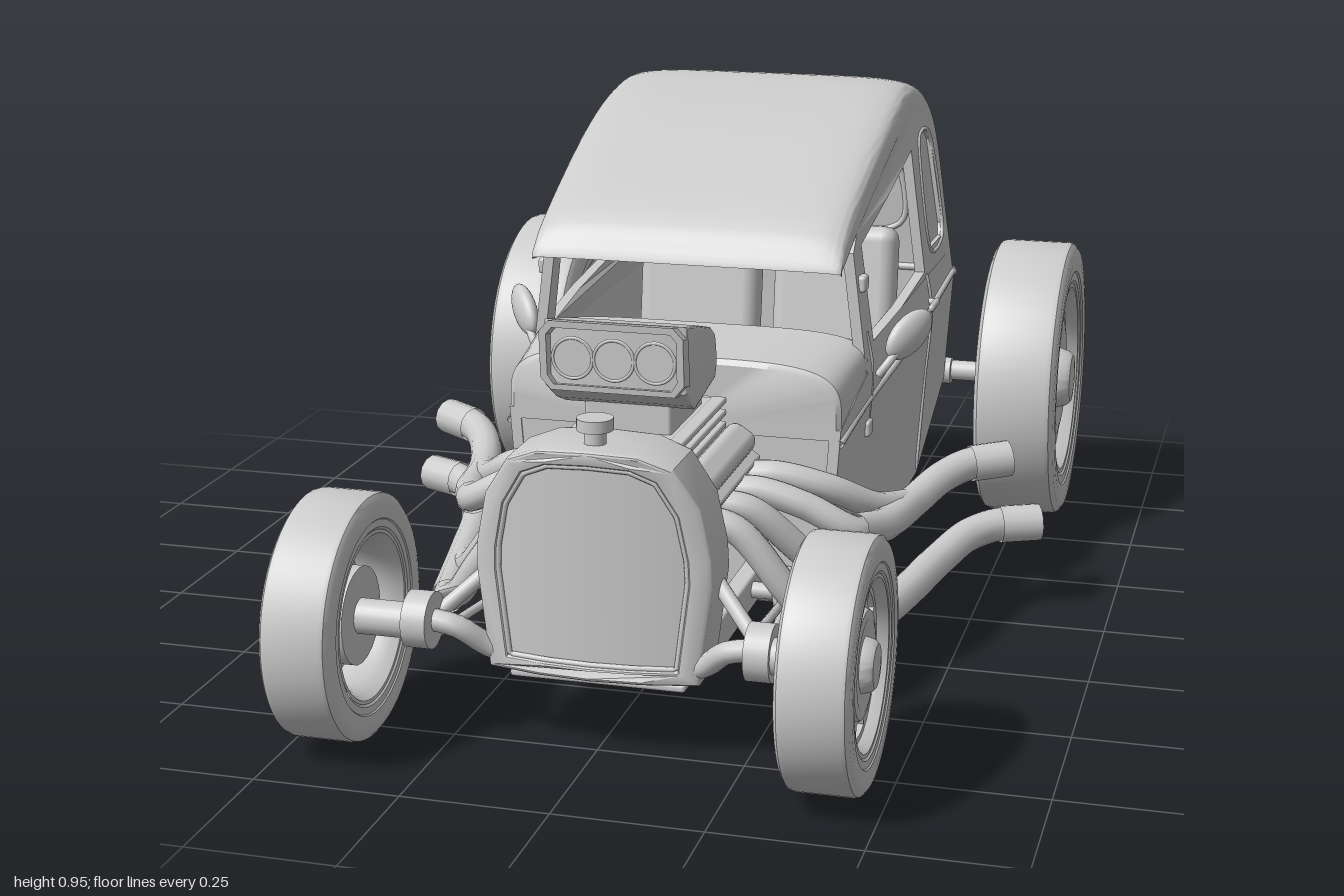
import * as THREE from 'three';
import { toCreasedNormals } from 'three/addons/utils/BufferGeometryUtils.js';
import { RoundedBoxGeometry } from 'three/addons/geometries/RoundedBoxGeometry.js';

const mat = new THREE.MeshStandardMaterial({ color: 0xcccccc, side: THREE.DoubleSide });
const V = (x, y, z) => new THREE.Vector3(x, y, z);
const V2 = (p) => new THREE.Vector2(p[0], p[1]);

function add(parent, name, geo, x = 0, y = 0, z = 0, rx = 0, ry = 0, rz = 0) {
  const m = new THREE.Mesh(geo, mat);
  m.name = name;
  m.position.set(x, y, z);
  m.rotation.set(rx, ry, rz);
  parent.add(m);
  return m;
}
const box = (w, h, d, r = 0.006) => new RoundedBoxGeometry(w, h, d, 2, r);
const cyl = (r, h) => new THREE.CylinderGeometry(r, r, h, 24);
const tube = (pts, r, closed = false, n = 40) => new THREE.TubeGeometry(
  new THREE.CatmullRomCurve3(pts.map((p) => V(...p)), closed), n, r, 12, closed);
const rod = (a, b, r) => tube([a, b], r, false, 1);

// Move every vertex by a rule (x, y, z) => [x, y, z]
function warp(g, rule) {
  const p = g.attributes.position;
  for (let i = 0; i < p.count; i++) p.setXYZ(i, ...rule(p.getX(i), p.getY(i), p.getZ(i)));
  return toCreasedNormals(g, 0.5);
}

// Half width of the body at a given length and height
function sideX(z, y) {
  const t = THREE.MathUtils.smoothstep(0.285 - z, 0, 0.6);
  return 0.31 + 0.033 * t - (y > 0.5 ? (y - 0.5) * 0.125 : (0.5 - y) * 0.07);
}

// Extrude a (z, y) profile across the car, centred on x = 0
function acrossX(pts, width, bevel = 0) {
  const g = new THREE.ExtrudeGeometry(new THREE.Shape(pts.map(V2)), {
    depth: width - 2 * bevel, bevelEnabled: bevel > 0, bevelSize: bevel, bevelThickness: bevel,
    bevelOffset: -bevel, bevelSegments: 3 });
  g.translate(0, 0, -(width - 2 * bevel) / 2);
  return g.rotateY(-Math.PI / 2);
}

// Extrude a (z, y) profile and wrap it on the body side
function sidePanel(pts, holes, thick, inset = 0) {
  const s = new THREE.Shape(pts.map(V2));
  holes.forEach((h) => s.holes.push(new THREE.Path(h.map(V2))));
  const g = new THREE.ExtrudeGeometry(s, { depth: thick, bevelEnabled: false });
  return warp(g, (z, y, d) => [sideX(z, y) - d - inset, y, z]);
}

// Arched skin: each station has a centre point, an edge point and a half width
function arch(stations, n, seg = 32) {
  const pos = [], idx = [];
  stations.forEach(({ P, E, w }) => {
    for (let j = 0; j <= seg; j++) {
      const a = (j / seg) * Math.PI, c = Math.cos(a);
      const s = Math.pow(Math.max(0, Math.sin(a)), 2 / n);
      pos.push(w * Math.sign(c) * Math.pow(Math.abs(c), 2 / n), E[1] + (P[1] - E[1]) * s, E[0] + (P[0] - E[0]) * s);
    }
  });
  for (let i = 0; i < stations.length - 1; i++) for (let j = 0; j < seg; j++) {
    const a = i * (seg + 1) + j, b = a + seg + 1;
    idx.push(a, b, a + 1, b, b + 1, a + 1);
  }
  const g = new THREE.BufferGeometry();
  g.setAttribute('position', new THREE.Float32BufferAttribute(pos, 3));
  g.setIndex(idx);
  return toCreasedNormals(g, 0.6);
}

// Wheel whose outer face looks along +x
function wheel(name, R, W) {
  const g = new THREE.Group();
  g.name = name;
  const lathe = (pts) => toCreasedNormals(new THREE.LatheGeometry(pts.map(([r, x]) => V2([r * R, x * W])), 56).rotateZ(-Math.PI / 2), 0.6);
  add(g, 'tyre', lathe([[0.68, -0.4], [0.72, -0.47], [0.78, -0.47], [0.79, -0.49], [0.88, -0.5], [0.95, -0.49], [0.99, -0.44], [1, -0.38],
    [1, 0.38], [0.99, 0.44], [0.95, 0.49], [0.88, 0.5], [0.79, 0.49], [0.78, 0.47], [0.72, 0.47], [0.68, 0.4]]));
  add(g, 'rim', lathe([[0.7, -0.45], [0.67, -0.45], [0.64, -0.36], [0.6, -0.2], [0.6, 0.2], [0.64, 0.36], [0.67, 0.45], [0.7, 0.45]]));
  const disc = new THREE.Shape().absarc(0, 0, 0.62 * R, 0, 2 * Math.PI);
  for (let i = 0; i < 8; i++) {
    const a = (i * Math.PI) / 4, h = new THREE.Path();
    h.absarc(0, 0, 0.57 * R, a - 0.27, a + 0.27, false);
    h.absarc(0, 0, 0.46 * R, a + 0.25, a - 0.25, true);
    h.closePath();
    disc.holes.push(h);
  }
  add(g, 'spokeDisc', new THREE.ExtrudeGeometry(disc, { depth: 0.1 * W, bevelEnabled: false, curveSegments: 32 }).rotateY(Math.PI / 2), 0.2 * W);
  add(g, 'centreDish', lathe([[0.44, 0.28], [0.42, 0.36], [0.36, 0.38], [0.3, 0.35], [0.22, 0.35], [0.2, 0.47], [0.17, 0.52], [0.08, 0.54], [0, 0.545]]));
  add(g, 'brakeDrum', cyl(0.4 * R, 0.35 * W), -0.1 * W, 0, 0, 0, 0, Math.PI / 2);
  return g;
}

export function createModel() {
  const car = new THREE.Group();
  car.name = 'hotRod';
  const half = new THREE.Group();
  half.name = 'leftSide';

  // Roof and back skin: centre line and edge line share the same parameter
  const top = [[0.205, 0.712], [0.165, 0.765], [-0.075, 0.877], [-0.29, 0.94], [-0.42, 0.955], [-0.555, 0.925], [-0.64, 0.865], [-0.665, 0.8], [-0.682, 0.65], [-0.695, 0.5], [-0.7, 0.3]];
  const edge = [[0.2, 0.705], [0.16, 0.718], [-0.075, 0.81], [-0.28, 0.872], [-0.42, 0.89], [-0.525, 0.87], [-0.605, 0.825], [-0.636, 0.77], [-0.658, 0.65], [-0.672, 0.5], [-0.675, 0.28]];
  const sample = (pts) => new THREE.CatmullRomCurve3(pts.map(([z, y]) => V(0, y, z))).getPoints(50).map((p) => [p.z, p.y]);
  const P = sample(top), E = sample(edge);
  const skin = P.map((p, i) => ({ P: p, E: E[i], w: sideX(...E[i]) }));
  skin.unshift({ P: [0.16, 0.705], E: [0.15, 0.698], w: 0.265 }, { P: [0.208, 0.703], E: [0.2, 0.696], w: 0.286 });
  add(car, 'roofAndBack', arch(skin, 5.5));

  // Cowl, firewall, floor and dashboard
  add(car, 'cowl', arch([
    { P: [0.285, 0.42], E: [0.285, 0.42], w: 0.001 }, { P: [0.285, 0.545], E: [0.285, 0.42], w: sideX(0.285, 0.44) - 0.008 },
    { P: [0.278, 0.555], E: [0.278, 0.43], w: sideX(0.27, 0.44) }, { P: [0.2, 0.562], E: [0.2, 0.46], w: sideX(0.2, 0.46) },
    { P: [0.1, 0.572], E: [0.1, 0.49], w: sideX(0.1, 0.49) }, { P: [0.09, 0.49], E: [0.09, 0.49], w: 0.29 }], 4.5));
  add(car, 'firewall', box(0.58, 0.36, 0.02), 0, 0.29, 0.272);
  add(car, 'floor', acrossX([[0.28, 0.11], [-0.42, 0.15], [-0.695, 0.29], [-0.695, 0.31], [-0.42, 0.175], [0.28, 0.135]], 0.6));
  add(car, 'dashboard', box(0.56, 0.1, 0.04), 0, 0.5, 0.08);
  add(car, 'seatCushion', box(0.54, 0.14, 0.26, 0.03), 0, 0.34, -0.3);
  for (const x of [-0.14, 0.14]) add(car, 'seatBack', box(0.25, 0.3, 0.08, 0.03), x, 0.5, -0.44, -0.15);

  // Side walls with door window and closed quarter window
  const doorWindow = [[0.05, 0.545], [0.06, 0.725], [-0.15, 0.778], [-0.37, 0.822], [-0.378, 0.578], [-0.15, 0.56]];
  const quarter = [[-0.455, 0.61], [-0.445, 0.81], [-0.46, 0.835], [-0.55, 0.835], [-0.58, 0.81], [-0.61, 0.63], [-0.595, 0.608]];
  const upper = [[0.115, 0.5], [0.115, 0.72], ...E.filter((p) => p[0] < 0.115 && p[1] >= 0.5), [-0.3, 0.5], [-0.1, 0.5]];
  add(half, 'upperSide', sidePanel(upper, [doorWindow, quarter], 0.02));
  add(half, 'quarterWindow', sidePanel(quarter, [], 0.006, 0.009));
  const lower = [[0.285, 0.11], [0.05, 0.123], [-0.15, 0.135], [-0.42, 0.15], [-0.675, 0.28], [-0.672, 0.5], [-0.3, 0.5], [-0.1, 0.5], [0.1, 0.5], [0.285, 0.44]];
  add(half, 'lowerSide', sidePanel(lower, [], 0.02));
  const onSide = (pts, r, closed, n) => tube(pts.map(([z, y]) => [sideX(z, y), y, z]), r, closed, n);
  add(half, 'quarterFrame', onSide(quarter, 0.004, true, 60));
  add(half, 'beltMoulding', onSide([[0.285, 0.415], [0.1, 0.44], [-0.15, 0.472], [-0.4, 0.5], [-0.672, 0.515]], 0.007));
  for (const z of [0.075, -0.41]) add(half, 'doorSeam', onSide([[z, 0.16], [z, 0.35], [z, 0.5], [z + 0.01, 0.57]], 0.003));
  for (const y of [0.23, 0.39, 0.66]) add(half, 'doorHinge', box(0.022, 0.03, 0.035), sideX(0.085, y), y, 0.085);
  add(half, 'doorHandle', box(0.012, 0.014, 0.075), 0.355, 0.515, -0.37);
  add(half, 'handleStem', rod([0.33, 0.515, -0.395], [0.355, 0.515, -0.395], 0.007));
  const backMoulding = [];
  for (let j = 0; j <= 24; j++) {
    const a = (j / 24) * Math.PI, c = Math.cos(a);
    backMoulding.push([0.342 * Math.sign(c) * Math.abs(c) ** (2 / 5.5), 0.515, -0.672 - 0.023 * Math.max(0, Math.sin(a)) ** (2 / 5.5)]);
  }
  add(car, 'backMoulding', tube(backMoulding, 0.008, false, 60));
  const rearOutline = [[-0.21, 0.6], [0, 0.595], [0.21, 0.6], [0.235, 0.625], [0.22, 0.74], [0.195, 0.765], [0, 0.775], [-0.195, 0.765], [-0.22, 0.74], [-0.235, 0.625]];
  add(car, 'rearWindowFrame', tube(rearOutline.map(([x, y]) => [x, y, -0.686 + (y - 0.6) * 0.1]), 0.006, true, 90));

  // Teardrop mirrors sweeping up, out and back
  add(half, 'mirror', new THREE.SphereGeometry(0.05, 24, 16).scale(1.2, 0.72, 0.4), 0.372, 0.548, 0, 0, 0.9, 0.58);
  add(half, 'mirrorStem', tube([[0.325, 0.48, 0.05], [0.34, 0.5, 0.045], [0.36, 0.53, 0.02]], 0.008));

  // Engine, blower and intake scoop
  add(car, 'engineBlock', box(0.2, 0.24, 0.35), 0, 0.27, 0.46);
  add(car, 'bellyPan', box(0.3, 0.015, 0.48), 0, 0.125, 0.51);
  add(half, 'cylinderHead', box(0.09, 0.1, 0.33), 0.1, 0.37, 0.455, 0, 0, -0.6);
  add(half, 'valveCover', box(0.06, 0.06, 0.32, 0.02), 0.125, 0.415, 0.455, 0, 0, -0.6);
  add(car, 'blowerCase', box(0.17, 0.13, 0.3), 0, 0.43, 0.465);
  for (let i = 0; i < 5; i++) add(car, 'blowerRib', box(0.21, 0.012, 0.32, 0.004), 0, 0.4 + i * 0.022, 0.465);
  add(car, 'carburettor', box(0.15, 0.06, 0.2), 0, 0.52, 0.46);
  for (const [y, r] of [[0.43, 0.05], [0.27, 0.065]]) add(car, 'pulley', cyl(r, 0.03), 0, y, 0.635, Math.PI / 2);
  const scoop = acrossX([[0.628, 0.7], [0.52, 0.676], [0.4, 0.643], [0.36, 0.622], [0.347, 0.595], [0.345, 0.56], [0.36, 0.542], [0.55, 0.54], [0.585, 0.555], [0.628, 0.586]], 0.244, 0.006);
  add(car, 'scoopBody', warp(scoop, (x, y, z) => [x * Math.min(1, 0.8 + (z - 0.345) * 0.72), y, z]));
  const mouth = new THREE.Shape([[-0.105, 0.585], [0.105, 0.585], [0.122, 0.605], [0.122, 0.685], [0.105, 0.704], [-0.105, 0.704], [-0.122, 0.685], [-0.122, 0.605]].map(V2));
  mouth.holes.push(new THREE.Path([[-0.1, 0.595], [-0.11, 0.61], [-0.11, 0.68], [-0.1, 0.692], [0.1, 0.692], [0.11, 0.68], [0.11, 0.61], [0.1, 0.595]].map(V2)));
  const mouthGeo = new THREE.ExtrudeGeometry(mouth, { depth: 0.035, bevelEnabled: false });
  add(car, 'scoopMouth', warp(mouthGeo, (x, y, z) => [x, y + (z - 0.035) * 0.2, z + (y - 0.7) * 0.08]), 0, 0, 0.62);
  for (const x of [-0.07, 0, 0.07]) {
    add(car, 'scoopFlap', cyl(0.033, 0.012), x, 0.638, 0.631, Math.PI / 2);
    add(car, 'scoopRing', new THREE.TorusGeometry(0.034, 0.003, 8, 32), x, 0.638, 0.636);
  }

  // Radiator shell bowed forward in the middle, recessed grille and filler cap
  const shellHalf = [[0, 0.14], [0.09, 0.14], [0.178, 0.14], [0.2, 0.31], [0.198, 0.355], [0.18, 0.44], [0.138, 0.505], [0.085, 0.526], [0, 0.53]];
  const outline = (k, dy) => [...shellHalf, ...shellHalf.slice(1, -1).map(([x, y]) => [-x, y]).reverse()].map(([x, y]) => V2([x * k, 0.33 + (y - 0.33) * dy]));
  const bow = (x, y, z) => [x, y, z - 0.8 * x * x * Math.max(0, (z - 0.65) / 0.14)];
  const shell = new THREE.Shape(outline(0.97, 0.97));
  shell.holes.push(new THREE.Path(outline(0.84, 0.9)));
  const shellGeo = new THREE.ExtrudeGeometry(shell, { depth: 0.126, bevelSize: 0.006, bevelThickness: 0.008, bevelSegments: 3 }).translate(0, 0, 0.66);
  add(car, 'radiatorShell', warp(shellGeo, bow));
  const halfWidth = (y) => {
    const i = Math.max(3, shellHalf.findIndex((p, j) => j > 2 && p[1] >= y));
    const [a, b] = [shellHalf[i - 1], shellHalf[i]];
    return THREE.MathUtils.mapLinear(y, a[1], b[1], a[0], b[0]);
  };
  const grille = new THREE.PlaneGeometry(2, 1, 16, 16);
  add(car, 'grille', warp(grille, (x, v) => {
    const y = 0.333 + v * 0.385;
    return bow(x * 0.86 * halfWidth(y), 0.33 + (y - 0.33) * 0.91, 0.782);
  }));
  add(car, 'radiatorCore', box(0.28, 0.3, 0.07), 0, 0.31, 0.69);
  const rim = new THREE.CurvePath(), rimPts = outline(0.8, 0.86).map((p) => V(...bow(p.x, p.y, 0.785)));
  rimPts.forEach((p, i) => rim.add(new THREE.LineCurve3(p, rimPts[(i + 1) % rimPts.length])));
  add(car, 'grilleRim', new THREE.TubeGeometry(rim, 120, 0.005, 8, true));
  add(car, 'capNeck', cyl(0.018, 0.04), 0, 0.54, 0.74);
  add(car, 'radiatorCap', cyl(0.03, 0.02), 0, 0.562, 0.74);

  // Chassis and front suspension
  add(half, 'frameRail', box(0.035, 0.06, 0.43), 0.15, 0.155, 0.48);
  add(car, 'frontAxle', tube([[-0.29, 0.22, 0.78], [-0.23, 0.21, 0.78], [-0.17, 0.165, 0.75], [0, 0.16, 0.73], [0.17, 0.165, 0.75], [0.23, 0.21, 0.78], [0.29, 0.22, 0.78]], 0.019));
  add(half, 'steeringKnuckle', cyl(0.048, 0.042), 0.287, 0.218, 0.785, 0, 0, Math.PI / 2);
  add(half, 'spindle', cyl(0.03, 0.12), 0.335, 0.217, 0.794, 0, 0, Math.PI / 2);
  for (const y of [0.18, 0.25]) add(half, 'radiusRod', rod([0.28, y, 0.77], [0.235, 0.16, 0.36], 0.008));
  add(half, 'rodBracket', box(0.045, 0.13, 0.06, 0.018), 0.23, 0.14, 0.36, 0, 0, 0.15);
  add(half, 'bracketArm', rod([0.15, 0.16, 0.36], [0.23, 0.16, 0.36], 0.015));
  add(half, 'frontShock', rod([0.18, 0.3, 0.68], [0.27, 0.22, 0.75], 0.013));

  // Headers and side pipes
  const low = [[0.36, 0.14, 0.48], [0.39, 0.132, 0.36], [0.42, 0.135, 0.22], [0.45, 0.145, 0.08], [0.49, 0.163, -0.02], [0.54, 0.172, -0.07], [0.61, 0.173, -0.1]];
  const high = [[0.35, 0.29, 0.37], [0.385, 0.274, 0.28], [0.41, 0.272, 0.14], [0.445, 0.29, 0.04], [0.49, 0.303, -0.02], [0.555, 0.308, -0.055]];
  for (const [path, r] of [[low, 0.031], [high, 0.03]]) {
    add(half, 'sidePipe', tube(path, r, false, 60));
    add(half, 'pipeTip', tube(path.slice(-2), r * 1.14, false, 4));
  }
  const headers = [
    [[0.13, 0.36, 0.57], [0.19, 0.34, 0.565], [0.27, 0.24, 0.55], [0.32, 0.17, 0.525], low[0], low[1]],
    [[0.13, 0.36, 0.49], [0.19, 0.35, 0.48], [0.27, 0.27, 0.44], [0.35, 0.17, 0.38], [0.405, 0.134, 0.28]],
    [[0.13, 0.36, 0.41], [0.19, 0.36, 0.405], [0.27, 0.335, 0.395], high[0], high[1]],
    [[0.13, 0.36, 0.33], [0.2, 0.365, 0.325], [0.29, 0.34, 0.3], [0.36, 0.295, 0.24], [0.41, 0.272, 0.14]]];
  headers.forEach((h) => add(half, 'header', tube(h, 0.025)));

  // Rear axle with hangers
  add(car, 'rearAxle', cyl(0.021, 0.92), 0, 0.29, -0.712, 0, 0, Math.PI / 2);
  add(car, 'axleHousing', cyl(0.028, 0.68), 0, 0.29, -0.705, 0, 0, Math.PI / 2);
  for (const x of [0.215, 0.27]) add(half, 'axleHanger', box(0.022, 0.19, 0.04), x, 0.27, -0.725);
  add(half, 'hangerBolt', cyl(0.014, 0.1), 0.243, 0.2, -0.725, 0, 0, Math.PI / 2);

  const other = half.clone();
  other.name = 'rightSide';
  other.scale.x = -1;
  car.add(half, other);

  // Wheels, the right pair standing slightly further out
  for (const [s, xf, xr] of [[1, 0.412, 0.509], [-1, 0.425, 0.527]]) {
    const front = wheel('frontWheel', 0.207, 0.12), rear = wheel('rearWheel', 0.286, 0.165);
    front.position.set(s * xf, 0.217, 0.793);
    rear.position.set(s * xr, 0.289, -0.712);
    for (const w of [front, rear]) {
      w.rotation.y = s > 0 ? 0 : Math.PI;
      car.add(w);
    }
  }
  return car;
}
